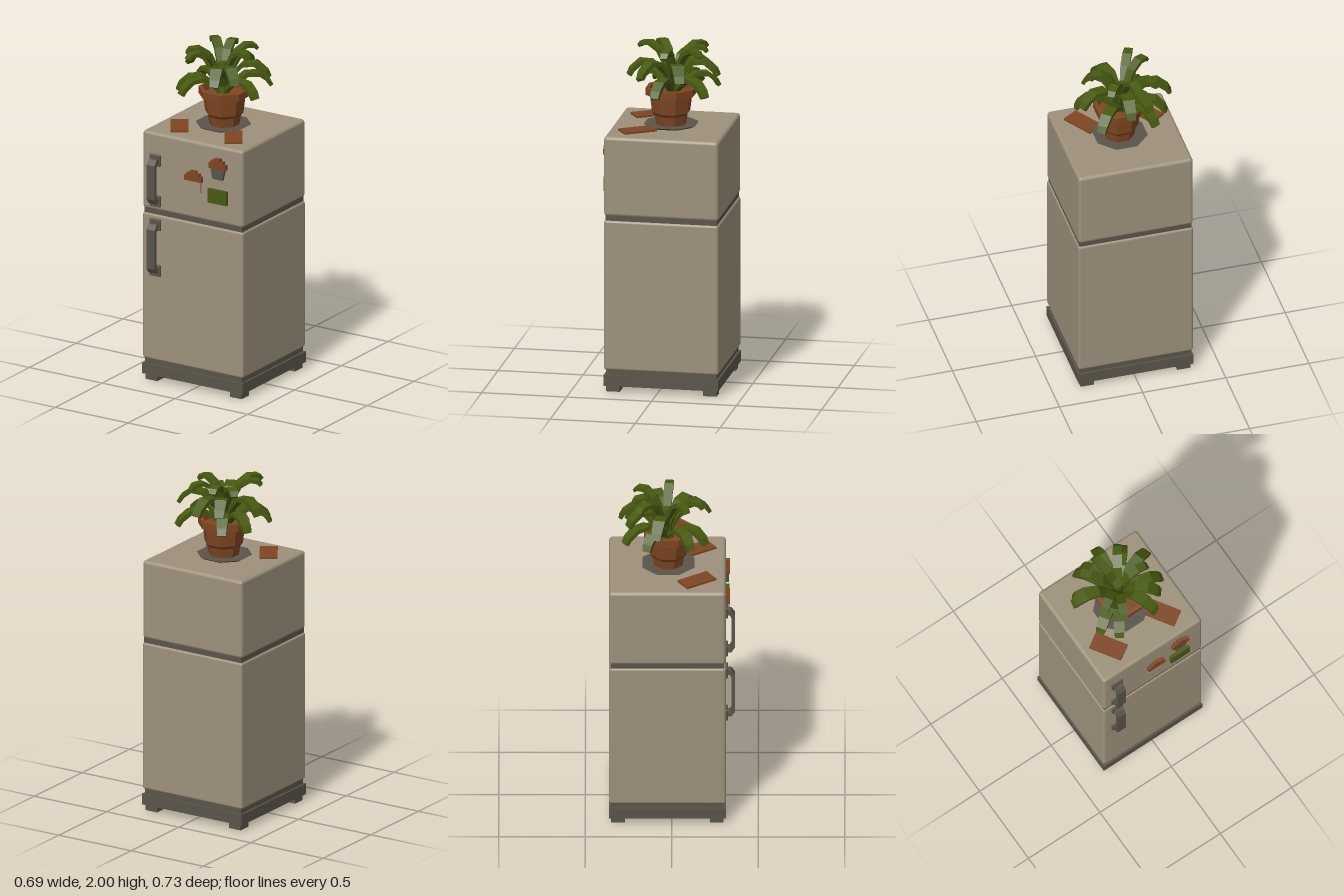
import * as THREE from 'three';
import { RoundedBoxGeometry } from 'three/addons/geometries/RoundedBoxGeometry.js';

const mat = (name, color) => Object.assign(new THREE.MeshStandardMaterial({ color }), { name });

// Flat-faced copy of a geometry
function faceted(geo) {
  const g = geo.index ? geo.toNonIndexed() : geo;
  g.computeVertexNormals();
  return g;
}

// Curved leaf: rectangular cross-sections swept along [radius, height, width, thickness]
function leafGeometry(path) {
  const pos = [], idx = [];
  path.forEach(([r, y, w, t], i) => {
    const a = path[Math.max(i - 1, 0)], b = path[Math.min(i + 1, path.length - 1)];
    const len = Math.hypot(b[0] - a[0], b[1] - a[1]);
    const nr = -(b[1] - a[1]) / len * t / 2, ny = (b[0] - a[0]) / len * t / 2;
    pos.push(r + nr, y + ny, w / 2, r + nr, y + ny, -w / 2, r - nr, y - ny, -w / 2, r - nr, y - ny, w / 2);
  });
  for (let i = 0; i < path.length - 1; i++) {
    for (let k = 0; k < 4; k++) {
      const a = i * 4 + k, b = i * 4 + (k + 1) % 4;
      idx.push(a, a + 4, b, b, a + 4, b + 4);
    }
  }
  const e = (path.length - 1) * 4;
  idx.push(0, 1, 2, 0, 2, 3, e, e + 2, e + 1, e, e + 3, e + 2);
  const g = new THREE.BufferGeometry();
  g.setAttribute('position', new THREE.Float32BufferAttribute(pos, 3));
  g.setIndex(idx);
  return faceted(g);
}

export function createModel() {
  const group = new THREE.Group();
  const cream = mat('cream enamel', 0x9d917b);
  const grey = mat('dark grey', 0x5a544a);
  const clay = mat('terracotta', 0x7f4622);
  const green = mat('leaf green', 0x475a10);

  const add = (name, geo, material, x = 0, y = 0, z = 0, parent = group) => {
    const m = new THREE.Mesh(geo, material);
    m.name = name;
    m.position.set(x, y, z);
    parent.add(m);
    return m;
  };
  const box = (name, w, h, d, material, x, y, z, parent) =>
    add(name, new THREE.BoxGeometry(w, h, d), material, x, y, z, parent);

  // Cabinet
  const cz = -0.025;
  add('freezerBody', new RoundedBoxGeometry(0.69, 0.475, 0.675, 2, 0.02), cream, 0, 1.2875, cz);
  add('fridgeBody', new RoundedBoxGeometry(0.69, 0.895, 0.675, 2, 0.015), cream, 0, 0.5775, cz);
  box('doorGap', 0.672, 0.06, 0.656, grey, 0, 1.035, cz);
  box('plinthNeck', 0.665, 0.05, 0.65, grey, 0, 0.115, cz);
  box('plinth', 0.69, 0.065, 0.675, grey, 0, 0.068, cz);
  for (const sx of [-1, 1]) for (const sz of [-1, 1]) {
    box('foot', 0.08, 0.037, 0.08, grey, sx * 0.29, 0.0185, cz + sz * 0.285);
  }

  // Handles: bracket profile extruded sideways, with mounting pads
  function handle(name, y0, y1) {
    const h = new THREE.Group();
    h.name = name;
    const a = y0 + 0.025, b = y1 - 0.025;
    const s = new THREE.Shape([
      [0.305, a], [0.345, a], [0.365, a + 0.03], [0.365, b - 0.03], [0.345, b], [0.305, b],
      [0.305, b - 0.025], [0.335, b - 0.025], [0.345, b - 0.045], [0.345, a + 0.045],
      [0.335, a + 0.025], [0.305, a + 0.025],
    ].map(p => new THREE.Vector2(...p)));
    const g = new THREE.ExtrudeGeometry(s, { depth: 0.055, bevelEnabled: false });
    g.rotateY(-Math.PI / 2);
    g.scale(-1, 1, 1); // mirrored below by index flip
    const n = g.attributes.position;
    for (let i = 0; i < n.count; i += 3) {
      const p = [n.getX(i), n.getY(i), n.getZ(i)];
      n.setXYZ(i, n.getX(i + 1), n.getY(i + 1), n.getZ(i + 1));
      n.setXYZ(i + 1, ...p);
    }
    g.computeVertexNormals();
    add('grip', g, grey, -0.281, 0, 0, h);
    for (const y of [y0 + 0.035, y1 - 0.035]) {
      add('mount', new RoundedBoxGeometry(0.075, 0.07, 0.018, 1, 0.006), grey, -0.253, y, 0.316, h);
    }
    group.add(h);
  }
  handle('freezerHandle', 1.075, 1.395);
  handle('fridgeHandle', 0.65, 1.0);

  // Door magnets
  function cake(x, y, cupMaterial, tilt) {
    const m = new THREE.Group();
    m.name = 'cakeMagnet';
    m.position.set(x, y, 0.31);
    const cup = new THREE.Shape([
      [-0.038 - tilt, -0.06], [0.038 + tilt, -0.06], [0.048, 0.005], [-0.048, 0.005],
    ].map(p => new THREE.Vector2(...p)));
    add('cup', new THREE.ExtrudeGeometry(cup, { depth: 0.02, bevelEnabled: false }), cupMaterial, 0, 0, 0, m);
    box('icingBase', 0.115, 0.033, 0.025, clay, 0, 0.022, 0.0125, m);
    box('icingMiddle', 0.085, 0.02, 0.025, clay, 0, 0.045, 0.0125, m);
    box('icingTop', 0.04, 0.018, 0.025, clay, 0, 0.06, 0.0125, m);
    group.add(m);
  }
  cake(0.015, 1.28, cream, 0.01);
  cake(0.182, 1.385, grey, -0.005);
  box('greenMagnet', 0.13, 0.085, 0.024, green, 0.18, 1.218, 0.32);

  // Two flat cards on top
  for (const [x, z, turn] of [[-0.197, 0.145, 0.575], [0.175, 0.145, 0.575]]) {
    box('card', 0.104, 0.014, 0.2, clay, x, 1.53, z).rotation.y = turn;
  }

  // Saucer and eight-sided pot
  const eight = points => {
    const g = new THREE.LatheGeometry(points.map(p => new THREE.Vector2(...p)), 8, Math.PI / 8);
    return faceted(g);
  };
  add('saucer', eight([[0, 1.52], [0.13, 1.52], [0.163, 1.538], [0.15, 1.538], [0, 1.532]]), grey, 0, 0, -0.02);
  add('pot', eight([
    [0, 1.53], [0.088, 1.53], [0.098, 1.59], [0.113, 1.61], [0.125, 1.71], [0.15, 1.712],
    [0.152, 1.755], [0.128, 1.757], [0.122, 1.72], [0, 1.72],
  ]), clay, 0.005, 0, -0.02);

  // Plant: leaves in three tiers, each given by its tip position
  const plant = new THREE.Group();
  plant.name = 'plant';
  plant.position.set(-0.012, 0, -0.03);
  group.add(plant);
  const tiers = {
    upper: {
      // fraction of reach, height, width, thickness
      path: [[0, 1.73, 0.03, 0.02], [0.16, 1.86, 0.042, 0.022], [0.4, 1.955, 0.052, 0.024],
        [0.68, 1.99, 0.054, 0.024], [0.92, 1.982, 0.048, 0.026], [1, 1.96, 0.04, 0.02]],
      tips: [[0.175, -0.01], [-0.115, 0.185], [-0.185, 0.085], [-0.18, -0.19], [-0.05, -0.22], [0.105, -0.21]],
    },
    middle: {
      path: [[0, 1.72, 0.035, 0.02], [0.2, 1.83, 0.05, 0.024], [0.45, 1.905, 0.066, 0.026],
        [0.72, 1.915, 0.07, 0.026], [0.93, 1.87, 0.06, 0.026], [1, 1.835, 0.05, 0.022]],
      tips: [[0.01, -0.297], [0.25, -0.115], [0.085, 0.213], [-0.28, -0.09], [0.17, 0.13], [-0.115, -0.25]],
    },
    lower: {
      path: [[0, 1.71, 0.035, 0.02], [0.25, 1.775, 0.05, 0.024], [0.5, 1.82, 0.064, 0.026],
        [0.75, 1.815, 0.066, 0.026], [0.93, 1.775, 0.058, 0.026], [1, 1.74, 0.05, 0.022]],
      tips: [[0.175, -0.25], [0.25, 0.03], [-0.23, 0.11], [-0.24, -0.145], [-0.155, 0.195], [-0.145, -0.27]],
    },
  };
  for (const [tier, { path, tips }] of Object.entries(tiers)) {
    for (const [tx, tz] of tips) {
      const dx = tx + 0.012, dz = tz + 0.03, reach = Math.hypot(dx, dz);
      const g = leafGeometry(path.map(([f, y, w, t]) => [f * reach, y, w, t]));
      add(tier + 'Leaf', g, green, 0, 0, 0, plant).rotation.y = Math.atan2(-dz, dx);
    }
  }
  add('crown', faceted(new THREE.CylinderGeometry(0.028, 0.04, 0.19, 8)), green, 0, 1.81, 0, plant);

  return group;
}
